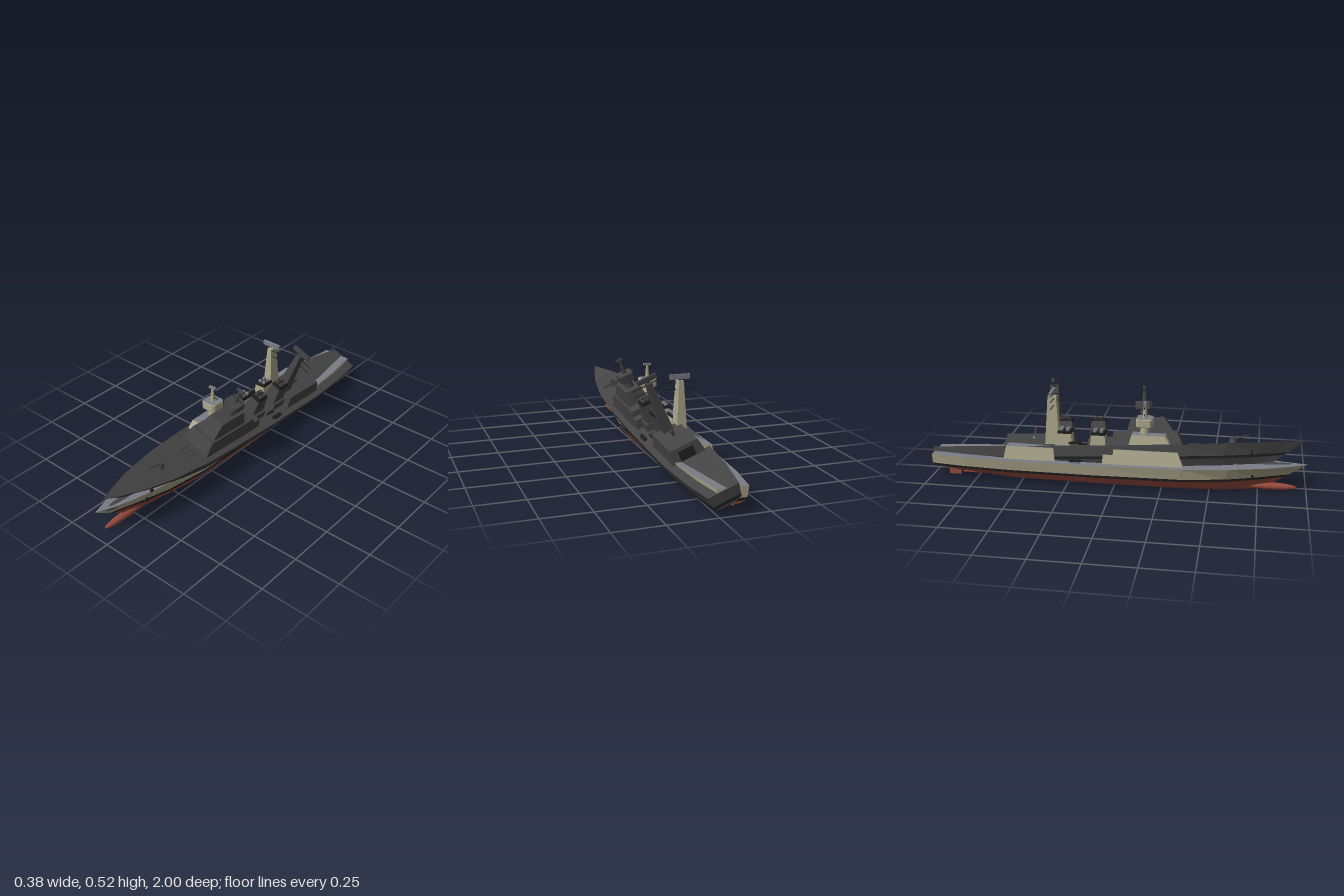
import * as THREE from 'three';

const material = (name, color) => {
  const m = new THREE.MeshStandardMaterial({ color });
  m.name = name;
  return m;
};

// Hull stations from stern to bow: z, stem rake, then (y, half width) of deck edge, stripe, bilge and keel
const STATIONS = [
  [-0.99, 0, 0.128, 0.078, 0.075, 0.070, 0.058, 0.055, 0.050, 0.030],
  [-0.80, 0, 0.130, 0.105, 0.075, 0.094, 0.042, 0.070, 0.028, 0.030],
  [-0.55, 0, 0.130, 0.121, 0.075, 0.110, 0.028, 0.085, 0.004, 0.035],
  [-0.10, 0, 0.132, 0.124, 0.075, 0.114, 0.025, 0.090, 0.000, 0.038],
  [0.35, 0, 0.137, 0.118, 0.076, 0.105, 0.025, 0.080, 0.000, 0.035],
  [0.60, 0.05, 0.144, 0.098, 0.080, 0.076, 0.028, 0.050, 0.000, 0.020],
  [0.80, 0.14, 0.150, 0.063, 0.088, 0.040, 0.035, 0.022, 0.005, 0.008],
  [0.92, 0.20, 0.155, 0.028, 0.095, 0.015, 0.040, 0.008, 0.012, 0.003],
  [1.00, 0.25, 0.160, 0, 0.100, 0, 0.045, 0, 0.020, 0],
];

// Closed cross-section: down the left side, across the keel, up the right side
function section([z, rake, dy, dw, sy, sw, by, bw, ky, kw]) {
  const half = [[dw, dy], [sw, sy], [sw * 0.975, sy - 0.014], [bw, by], [kw, ky]];
  const at = (x, y) => [x, y, z - rake * (1 - y / dy)];
  return [...half.map(([x, y]) => at(x, y)), ...half.reverse().map(([x, y]) => at(-x, y))];
}

function buildShip(name, c) {
  const ship = new THREE.Group();
  ship.name = name;
  const add = (part, geo, mat, x = 0, y = 0, z = 0) => {
    const m = new THREE.Mesh(geo, mat);
    m.name = part;
    m.position.set(x, y, z);
    ship.add(m);
    return m;
  };
  const box = (part, mat, w, h, d, x, y, z) => add(part, new THREE.BoxGeometry(w, h, d), mat, x, y, z);
  const cyl = (part, mat, r0, r1, h, x, y, z, sides = 12) =>
    add(part, new THREE.CylinderGeometry(r1, r0, h, sides), mat, x, y, z);

  // Tapered block: bottom and top are [half width, front z, back z]
  const block = (part, mat, roof, y0, y1, bottom, top) => {
    const geo = new THREE.BoxGeometry(1, 1, 1).toNonIndexed();
    const p = geo.attributes.position;
    for (let i = 0; i < p.count; i++) {
      const up = p.getY(i) > 0;
      const [hw, front, back] = up ? top : bottom;
      p.setXYZ(i, Math.sign(p.getX(i)) * hw, up ? y1 : y0, p.getZ(i) > 0 ? front : back);
    }
    geo.computeVertexNormals();
    return add(part, geo, [mat, mat, roof, mat, mat, mat]);
  };

  // Hull, one mesh for each painted band
  const rings = STATIONS.map(section);
  const band = (part, mat, lines, transomRows) => {
    const pos = [];
    const quad = (a, b, cc, d) => pos.push(...a, ...b, ...d, ...b, ...cc, ...d);
    for (let i = 0; i < rings.length - 1; i++) {
      for (const j of lines) {
        const k = (j + 1) % 10;
        quad(rings[i][j], rings[i + 1][j], rings[i + 1][k], rings[i][k]);
      }
    }
    const s = rings[0];
    for (const j of transomRows) quad(s[j], s[j + 1], s[8 - j], s[9 - j]);
    const geo = new THREE.BufferGeometry();
    geo.setAttribute('position', new THREE.Float32BufferAttribute(pos, 3));
    geo.computeVertexNormals();
    add(part, geo, mat);
  };
  band('hullSides', c.paint, [0, 8], [0]);
  band('waterlineStripe', c.stripe, [1, 7], [1]);
  band('hullBottom', c.bottom, [2, 3, 4, 5, 6], [2, 3]);
  band('deck', c.deck, [9], []);

  // Bow bulb, rudders and propeller shafts
  add('bowBulb', new THREE.SphereGeometry(1, 20, 12), c.bottom, 0, 0.03, 0.81).scale.set(0.021, 0.019, 0.14);
  for (const s of [-1, 1]) {
    box('rudder', c.bottom, 0.008, 0.045, 0.065, s * 0.04, 0.03, -0.875);
    cyl('propellerShaft', c.bottom, 0.005, 0.005, 0.2, s * 0.04, 0.025, -0.73, 8).rotation.x = Math.PI / 2;
    box('anchor', c.stripe, 0.012, 0.02, 0.012, s * 0.064, 0.098, 0.72);
  }

  // Forward deckhouse and bridge
  block('deckhouse', c.paint, c.deck, 0.125, 0.21, [0.092, 0.37, -0.01], [0.07, 0.335, 0.0]);
  block('deckhouseRear', c.paint, c.deck, 0.125, 0.18, [0.09, 0.02, -0.06], [0.076, 0.02, -0.055]);
  block('bridge', c.paint, c.deck, 0.208, 0.285, [0.061, 0.315, 0.07], [0.043, 0.265, 0.09]);

  // Forward mast with its sensor housing
  cyl('mastPedestal', c.paint, 0.026, 0.02, 0.045, 0, 0.305, 0.155);
  const drum = new THREE.Shape();
  const h = 0.03, e = 0.04;
  drum.moveTo(-h, -e).lineTo(h, -e).lineTo(e, -h).lineTo(e, h).lineTo(h, e).lineTo(-h, e).lineTo(-e, h).lineTo(-e, -h);
  const drumGeo = new THREE.ExtrudeGeometry(drum, { depth: 0.037, bevelSize: 0.003, bevelThickness: 0.004, bevelSegments: 1 });
  drumGeo.rotateX(-Math.PI / 2);
  add('sensorHousing', drumGeo, [c.deck, c.paint], 0, 0.329, 0.155);
  cyl('foreMast', c.paint, 0.013, 0.006, 0.075, 0, 0.405, 0.155, 8);
  box('foreRadar', c.deck, 0.04, 0.011, 0.014, 0, 0.446, 0.155);
  for (const y of [0.39, 0.427]) box('foreYard', c.stripe, 0.072, 0.003, 0.003, 0, y, 0.155);
  for (const s of [-1, 1]) box('foreAerial', c.stripe, 0.003, 0.028, 0.003, s * 0.018, 0.43, 0.155);

  // Two funnels, each with a dark cap and twin exhausts
  for (const z of [-0.09, -0.27]) {
    block('funnelBase', c.paint, c.deck, 0.128, 0.17, [0.055, z + 0.055, z - 0.055], [0.048, z + 0.05, z - 0.05]);
    block('funnel', c.paint, c.deck, 0.168, 0.268, [0.037, z + 0.046, z - 0.046], [0.028, z + 0.036, z - 0.036]);
    block('funnelCap', c.stripe, c.stripe, 0.266, 0.28, [0.029, z + 0.037, z - 0.037], [0.027, z + 0.035, z - 0.035]);
    for (const sx of [-1, 1]) for (const sz of [-1, 1])
      cyl('exhaust', c.deck, 0.01, 0.01, 0.014, sx * 0.013, 0.284, z + sz * 0.017, 12);
  }

  // Boats amidships
  for (const s of [-1, 1]) {
    box('boatCradle', c.deck, 0.02, 0.01, 0.045, s * 0.098, 0.136, -0.2);
    const boat = add('boat', new THREE.CapsuleGeometry(0.011, 0.05, 4, 10), c.stripe, s * 0.098, 0.146, -0.2);
    boat.rotation.x = Math.PI / 2;
    boat.scale.z = 0.7;
  }

  // Hangar with rear door
  block('hangar', c.paint, c.deck, 0.125, 0.198, [0.09, -0.31, -0.59], [0.074, -0.32, -0.575]);
  const door = box('hangarDoor', c.stripe, 0.08, 0.048, 0.004, 0, 0.156, -0.5849);
  door.rotation.x = 0.2;
  cyl('hangarDome', c.paint, 0.008, 0.008, 0.025, 0, 0.208, -0.44);
  add('hangarDomeTop', new THREE.SphereGeometry(0.01, 12, 8), c.paint, 0, 0.224, -0.44);

  // Tall main mast with radar and yards
  block('mainMast', c.paint, c.paint, 0.19, 0.465, [0.028, -0.295, -0.375], [0.013, -0.313, -0.358]);
  cyl('radarPost', c.stripe, 0.006, 0.006, 0.012, 0, 0.468, -0.335, 8);
  box('mainRadar', c.deck, 0.105, 0.024, 0.014, 0, 0.483, -0.335);
  for (const y of [0.417, 0.453]) box('mainYard', c.stripe, 0.18, 0.003, 0.003, 0, y, -0.325);

  // Foredeck gun, breakwater and launcher hatches
  cyl('gunBase', c.paint, 0.024, 0.022, 0.012, 0, 0.148, 0.62, 12);
  cyl('gunTurret', c.paint, 0.02, 0.011, 0.03, 0, 0.166, 0.62, 8);
  cyl('gunBarrel', c.paint, 0.004, 0.003, 0.085, 0, 0.18, 0.668, 8).rotation.x = 1.3;
  for (const s of [-1, 1])
    box('breakwater', c.paint, 0.055, 0.01, 0.004, s * 0.032, 0.148, 0.635).rotation.y = s * 0.15;
  for (let i = 0; i < 3; i++) for (let j = 0; j < 2; j++)
    box('launcherHatch', c.paint, 0.018, 0.01, 0.02, (i - 1) * 0.025, 0.142, 0.41 + j * 0.03);
  return ship;
}

export function createModel() {
  const model = new THREE.Group();
  const stripe = material('black', 0x1e1e1e);
  const dark = material('charcoal', 0x444444);
  const painted = buildShip('paintedShip', {
    paint: material('beige', 0xaaa58a),
    deck: material('deckGrey', 0x7a7d86),
    bottom: material('redBottom', 0x94493c),
    stripe,
  });
  painted.position.x = -0.065;

  // Charcoal ship of the same shape, rolled to its left with the bow raised
  const charcoal = buildShip('charcoalShip', { paint: dark, deck: dark, bottom: dark, stripe });
  charcoal.position.set(-0.065, 0.061, 0);
  charcoal.rotation.set(-0.06, 0, -0.384);
  model.add(painted, charcoal);
  return model;
}
